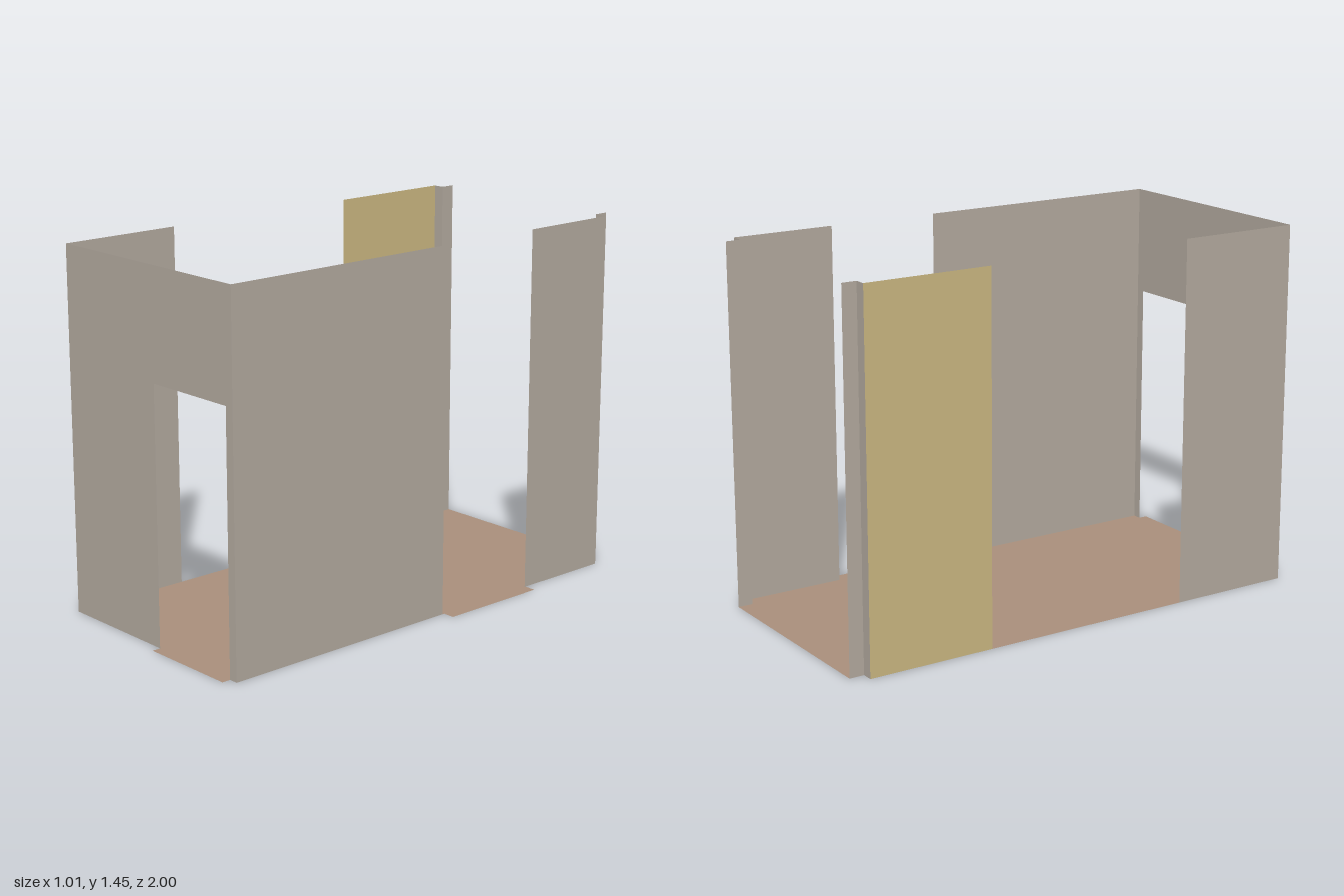
import * as THREE from 'three';

const H = 1.45;                       // wall height
const L = -0.51, R = 0.457;           // side wall planes (x)
const FRONT = 0.965, BACK = -0.94;    // end planes (z)
const DOOR = { x0: 0.01, x1: 0.42, top: 1.015 };

function material(name, color) {
  const m = new THREE.MeshStandardMaterial({ color, side: THREE.DoubleSide });
  m.name = name;
  return m;
}

function polygon(points) {
  return new THREE.ShapeGeometry(new THREE.Shape(points.map(([x, y]) => new THREE.Vector2(x, y))));
}

export function createModel() {
  const model = new THREE.Group();
  model.name = 'room';
  const plaster = material('grey plaster', 0xb2a99e);
  const accent = material('ochre paint', 0xc9b680);
  const boards = material('brown floor', 0xa98f7b);

  const add = (name, geometry, mat) => {
    const mesh = new THREE.Mesh(geometry, mat);
    mesh.name = name;
    model.add(mesh);
    return mesh;
  };

  // Thin upright wall between two floor points
  const wall = (name, x0, z0, x1, z1, mat = plaster) => {
    const g = new THREE.PlaneGeometry(Math.hypot(x1 - x0, z1 - z0), H);
    g.rotateY(Math.atan2(z0 - z1, x1 - x0));
    g.translate((x0 + x1) / 2, H / 2, (z0 + z1) / 2);
    add(name, g, mat);
  };

  // Floor with thresholds reaching into the openings (x, z)
  const floor = polygon([
    [L, FRONT], [DOOR.x0, FRONT], [DOOR.x0, 1], [DOOR.x1, 1], [DOOR.x1, FRONT], [R, FRONT],
    [R, -0.07], [0.505, -0.07], [0.505, -0.525], [R, -0.525],
    [R, BACK], [0.405, BACK], [0.405, -1], [-0.465, -1], [-0.465, BACK], [L, BACK],
  ].map(([x, z]) => [x, -z]));
  floor.rotateX(-Math.PI / 2);
  add('floor', floor, boards);

  // Front wall with doorway
  const front = polygon([
    [L, 0], [DOOR.x0, 0], [DOOR.x0, DOOR.top], [DOOR.x1, DOOR.top],
    [DOOR.x1, 0], [R, 0], [R, H], [L, H],
  ]);
  front.translate(0, 0, FRONT);
  add('frontWall', front, plaster);

  // Side walls, each split by an opening
  wall('leftFrontWall', R, FRONT, R, -0.06);
  wall('leftBackWall', R, -0.52, R, BACK);
  wall('rightFrontWall', L, 0.46, L, FRONT);
  wall('rightBackWall', L, BACK, L, -0.417, accent);

  // Back corner returns and jambs
  for (const [side, outer, inner] of [['left', R, 0.405], ['right', L, -0.465]]) {
    wall(side + 'BackReturn', outer, BACK, inner, BACK);
    wall(side + 'BackJamb', inner, BACK, inner, -1);
  }
  return model;
}
